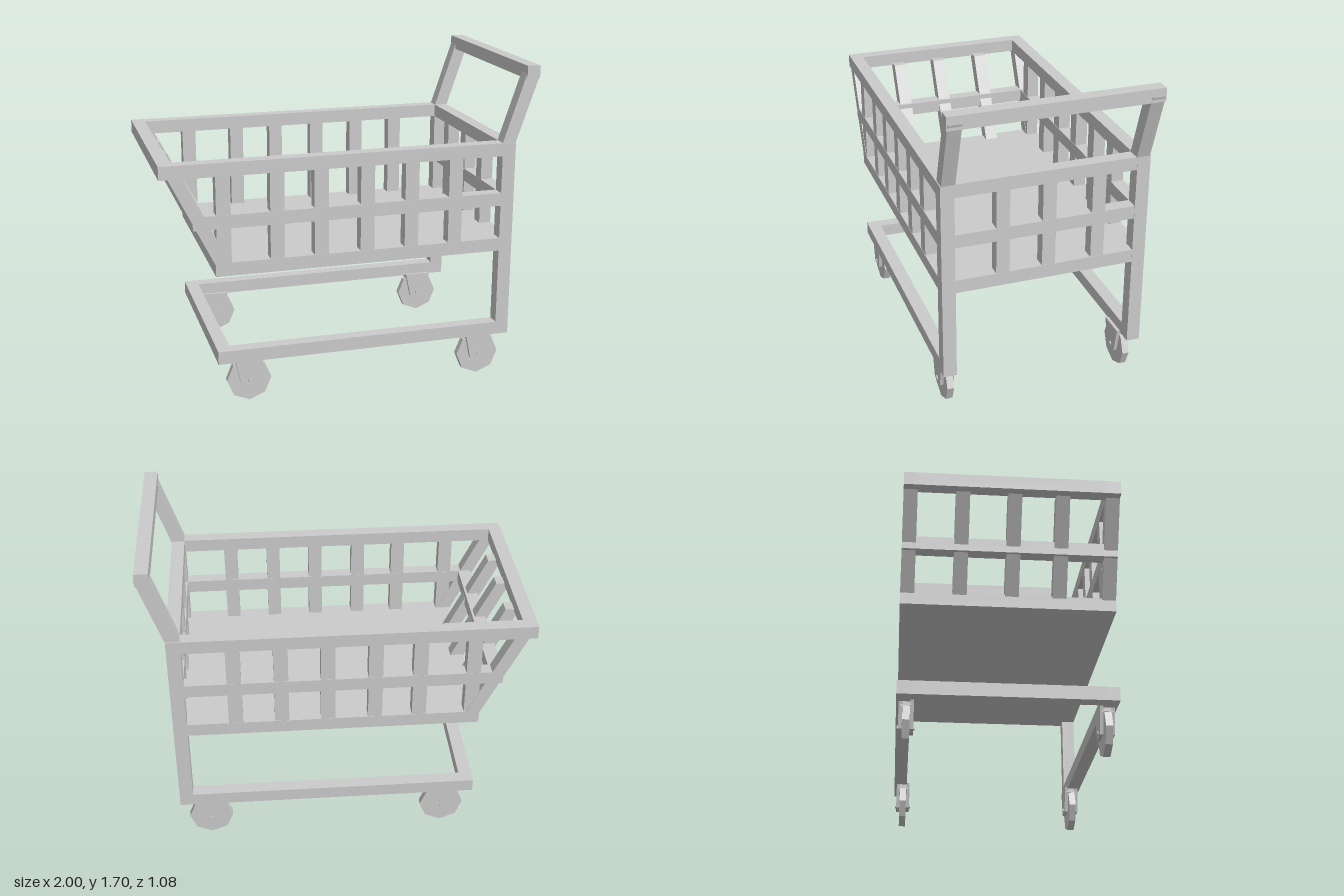
import * as THREE from 'three';

const material = new THREE.MeshStandardMaterial({ color: 0xcccccc, flatShading: true });
const T = 0.07; // bar thickness
const W = 0.54; // half width
const SIDE = W - T / 2; // centre line of the side bars

export function createModel() {
  const model = new THREE.Group();
  model.name = 'shoppingCart';

  const add = (name, geometry, parent = model) => {
    const mesh = new THREE.Mesh(geometry, material);
    mesh.name = name;
    parent.add(mesh);
    return mesh;
  };
  // Box given by its extents
  const bar = (name, x0, x1, y0, y1, z0, z1) =>
    add(name, new THREE.BoxGeometry(x1 - x0, y1 - y0, z1 - z0))
      .position.set((x0 + x1) / 2, (y0 + y1) / 2, (z0 + z1) / 2);
  // Side profile in x/y, given thickness around z
  const plate = (name, points, z, depth, parent) => {
    const shape = new THREE.Shape(points.map(([x, y]) => new THREE.Vector2(x, y)));
    const geometry = new THREE.ExtrudeGeometry(shape, { depth, bevelEnabled: false });
    return add(name, geometry.translate(0, 0, z - depth / 2), parent);
  };
  const slantedSlat = (name, z) =>
    plate(name, [[-0.73, 0.77], [-0.655, 0.77], [-0.885, 1.24], [-0.96, 1.24]], z, T);

  // Basket floor
  bar('basketFloor', -0.73, 0.87, 0.71, 0.78, -W, W);

  // Basket rim and middle band: [front end x, bottom y]
  for (const [name, x, y] of [['rim', -1, 1.23], ['middle', -0.84, 0.96]]) {
    for (const s of [-1, 1]) {
      bar(name + 'SideRail', x, 0.87, y, y + T, s * SIDE - T / 2, s * SIDE + T / 2);
    }
    bar(name + 'FrontRail', x, x + T, y, y + T, -W + T, W - T);
    bar(name + 'BackRail', 0.80, 0.87, y, y + T, -W + T, W - T);
  }

  // Upright slats on the back end, leaning slats on the front end
  for (const z of [-0.275, -0.015, 0.225]) {
    bar('backSlat', 0.802, 0.868, 0.77, 1.24, z - T / 2, z + T / 2);
    slantedSlat('frontSlat', z + 0.03);
  }

  for (const s of [-1, 1]) {
    const z0 = s * SIDE - T / 2, z1 = s * SIDE + T / 2;
    // Side slats and leaning corner
    for (const x of [-0.685, -0.41, -0.18, 0.065, 0.305, 0.545]) {
      bar('sideSlat', x - 0.037, x + 0.037, 0.77, 1.24, z0 + 0.002, z1 - 0.002);
    }
    slantedSlat('frontCornerSlat', s * SIDE);
    // Rear post, handle arm and base rail
    bar('rearPost', 0.80, 0.872, 0.23, 1.30, z0, z1);
    plate('handleArm', [[0.80, 1.30], [0.873, 1.30], [0.995, 1.66], [0.92, 1.66]], s * (SIDE - 0.005), T);
    bar('baseSideRail', -0.73, 0.80, 0.23, 0.30, z0, z1);
    // Casters
    for (const x of [-0.565, 0.71]) model.add(caster(x, s * 0.49));
  }
  bar('baseFrontRail', -0.73, -0.66, 0.23, 0.30, -W + T, W - T);
  bar('handleBar', 0.92, 0.99, 1.63, 1.70, -W, W);

  // Eight-sided wheel in a tapered fork
  function caster(x, z) {
    const group = new THREE.Group();
    group.name = 'caster';
    group.position.set(x, 0.118, z);
    add('wheel', new THREE.CylinderGeometry(0.118, 0.118, 0.036, 8).rotateX(Math.PI / 2), group);
    for (const s of [-1, 1]) {
      plate('forkPlate', [[-0.045, -0.02], [0.045, -0.02], [0.075, 0.12], [-0.075, 0.12]], s * 0.028, 0.018, group);
    }
    add('forkTop', new THREE.BoxGeometry(0.14, 0.03, 0.06), group).position.y = 0.105;
    add('axle', new THREE.CylinderGeometry(0.012, 0.012, 0.086, 6).rotateX(Math.PI / 2), group);
    return group;
  }

  return model;
}
